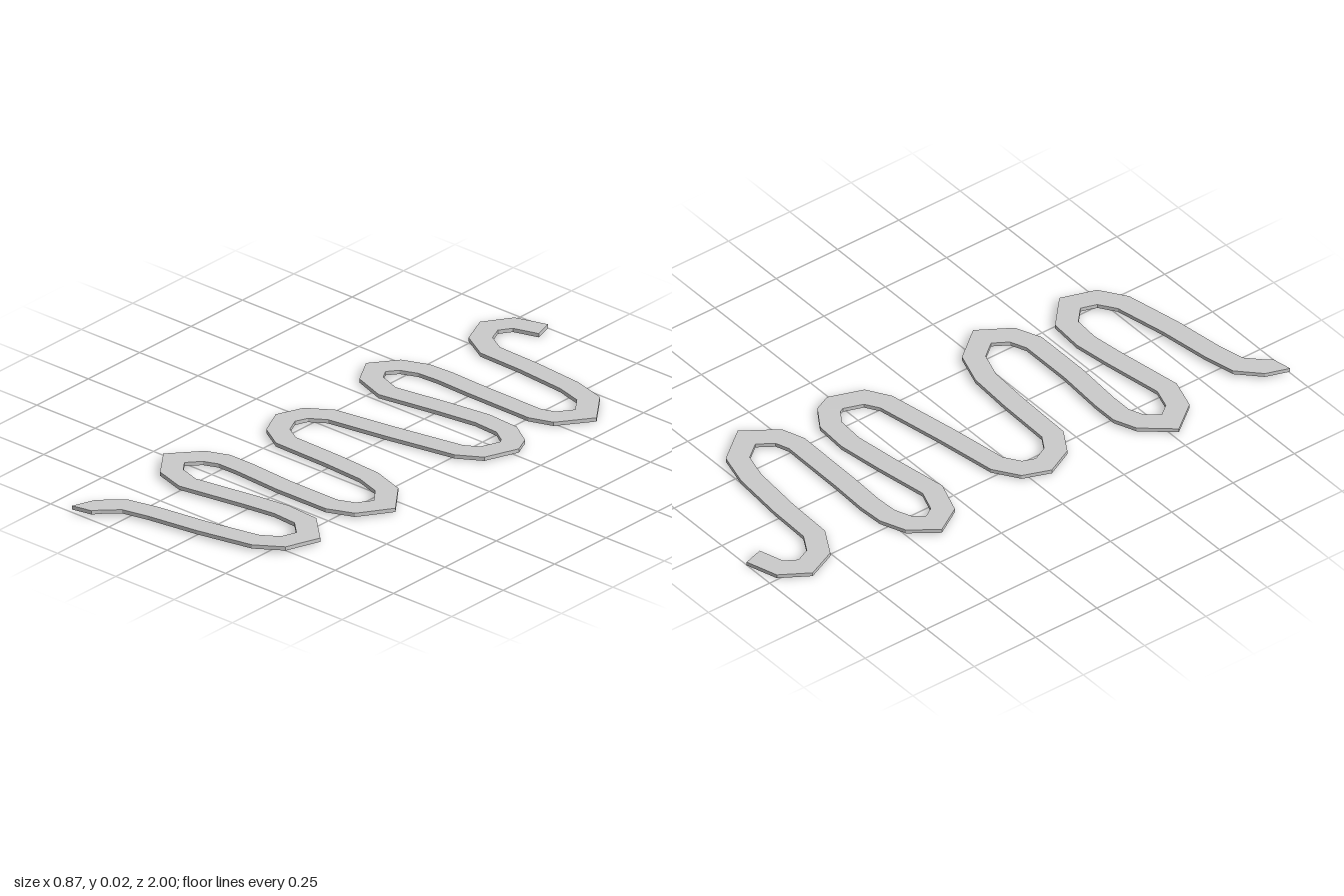
import * as THREE from 'three';

// Centreline of the winding strip, from back to front: [x, z]
const PATH = [
  [-.12, -.966], [-.22, -.935], [-.265, -.865], [-.23, -.785], [-.147, -.738],
  [.02, -.733], [.21, -.717], [.318, -.688], [.385, -.6], [.325, -.515], [.26, -.492],
  [0, -.495], [-.13, -.5], [-.217, -.495], [-.292, -.465], [-.34, -.4], [-.3, -.333], [-.2, -.297],
  [0, -.33], [.16, -.352], [.27, -.345], [.335, -.303], [.352, -.265], [.318, -.172], [.253, -.132],
  [0, -.085], [-.22, -.05], [-.29, -.003], [-.317, .066], [-.28, .143], [-.21, .185],
  [0, .19], [.16, .2], [.267, .235], [.333, .32], [.28, .402], [.205, .433],
  [0, .433], [-.18, .421], [-.265, .421], [-.33, .447], [-.393, .522], [-.338, .595], [-.245, .624],
  [-.01, .585], [.11, .569], [.22, .577], [.297, .65], [.267, .738], [.193, .788],
  [0, .828], [-.188, .855], [-.29, .878], [-.352, .938], [-.375, .99],
];
const HALF_WIDTH = 0.0365;
const THICKNESS = 0.0135;
const SLOPE = 0.0045;                       // slight rise towards the front
const END_DIRECTION = new THREE.Vector2(0.2, 0.98);

function stripGeometry() {
  const pts = PATH.map(([x, z]) => new THREE.Vector2(x, z));
  const last = pts.length - 1;
  const dirs = pts.slice(1).map((p, i) => p.clone().sub(pts[i]).normalize());

  // Four-cornered cross-section at each point, mitred at the bends
  const positions = [];
  pts.forEach((p, i) => {
    const before = dirs[Math.max(i - 1, 0)];
    const after = dirs[Math.min(i, last - 1)];
    const t = i === last ? END_DIRECTION.clone().normalize() : before.clone().add(after).normalize();
    const w = i === last ? HALF_WIDTH : HALF_WIDTH / t.dot(after);
    const bottom = SLOPE * (p.y + 1);
    for (const [side, up] of [[1, 1], [1, 0], [-1, 0], [-1, 1]]) {
      positions.push(p.x - t.y * w * side, bottom + up * THICKNESS, p.y + t.x * w * side);
    }
  });

  // Skin between neighbouring cross-sections, then the two end caps
  const index = [0, 3, 2, 0, 2, 1];
  for (let i = 0; i < last; i++) {
    for (let j = 0; j < 4; j++) {
      const a = i * 4 + j, b = i * 4 + (j + 1) % 4;
      index.push(a, b, b + 4, a, b + 4, a + 4);
    }
  }
  const e = last * 4;
  index.push(e, e + 1, e + 2, e, e + 2, e + 3);

  const indexed = new THREE.BufferGeometry();
  indexed.setAttribute('position', new THREE.Float32BufferAttribute(positions, 3));
  indexed.setIndex(index);
  const geometry = indexed.toNonIndexed();
  geometry.computeVertexNormals();
  return geometry;
}

export function createModel() {
  const group = new THREE.Group();
  group.name = 'windingPath';
  const material = new THREE.MeshStandardMaterial({ color: 0xcccccc, flatShading: true });
  const strip = new THREE.Mesh(stripGeometry(), material);
  strip.name = 'windingStrip';
  group.add(strip);
  return group;
}
